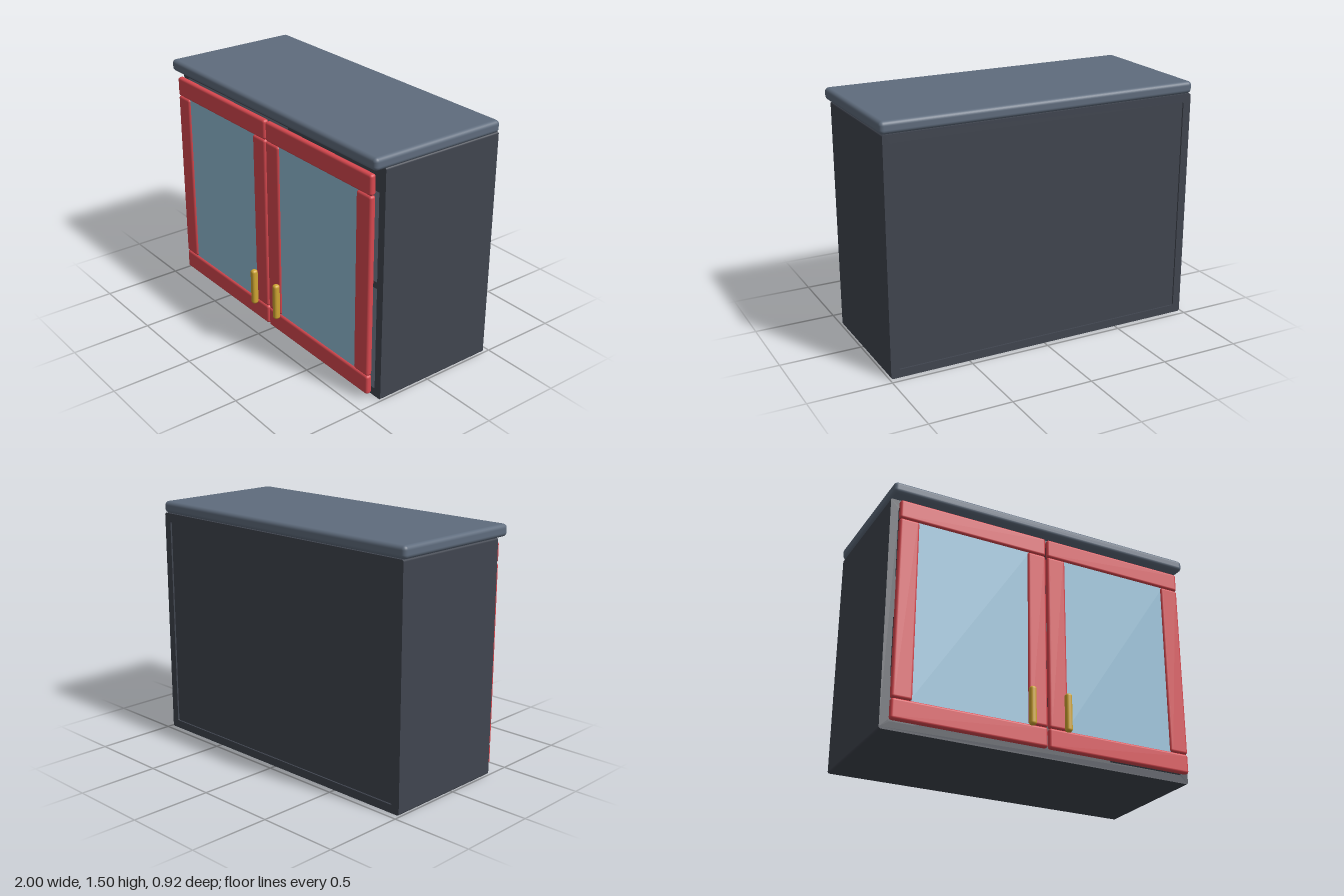
import * as THREE from 'three';
import { RoundedBoxGeometry } from 'three/addons/geometries/RoundedBoxGeometry.js';

function material(name, color) {
  const m = new THREE.MeshStandardMaterial({ color });
  m.name = name;
  return m;
}

// Rectangle outline with rounded corners
function roundedRect(path, x0, y0, x1, y1, r) {
  path.moveTo(x0 + r, y0);
  path.lineTo(x1 - r, y0);
  path.absarc(x1 - r, y0 + r, r, -Math.PI / 2, 0);
  path.lineTo(x1, y1 - r);
  path.absarc(x1 - r, y1 - r, r, 0, Math.PI / 2);
  path.lineTo(x0 + r, y1);
  path.absarc(x0 + r, y1 - r, r, Math.PI / 2, Math.PI);
  path.lineTo(x0, y0 + r);
  path.absarc(x0 + r, y0 + r, r, Math.PI, Math.PI * 1.5);
  return path;
}

export function createModel() {
  const model = new THREE.Group();
  model.name = 'cabinet';
  const body = material('charcoal', 0x40454f);
  const slate = material('slate', 0x5f6c7d);
  const red = material('red', 0xd8484f);
  const glass = material('glass blue', 0x92bdd6);
  const brass = material('brass', 0xcfa532);

  // Box given by its limits, rounded when r > 0
  function box(parent, name, mat, [x0, x1], [y0, y1], [z0, z1], r = 0) {
    const size = [x1 - x0, y1 - y0, z1 - z0];
    const geometry = r > 0 ? new RoundedBoxGeometry(...size, 4, r) : new THREE.BoxGeometry(...size);
    const mesh = new THREE.Mesh(geometry, mat);
    mesh.position.set((x0 + x1) / 2, (y0 + y1) / 2, (z0 + z1) / 2);
    mesh.name = name;
    parent.add(mesh);
  }

  // Hollow carcass, open at the front
  const outline = roundedRect(new THREE.Shape(), -0.99, 0, 0.99, 1.43, 0.012);
  outline.holes.push(roundedRect(new THREE.Path(), -0.94, 0.05, 0.94, 1.38, 0.01));
  const carcass = new THREE.Mesh(
    new THREE.ExtrudeGeometry(outline, { depth: 0.81, bevelEnabled: false, curveSegments: 5 }), body);
  carcass.position.z = -0.46;
  carcass.name = 'carcass';
  model.add(carcass);

  box(model, 'backPanel', body, [-0.945, 0.945], [0.045, 1.385], [-0.45, -0.42]);
  box(model, 'shelf', body, [-0.94, 0.94], [0.68, 0.72], [-0.42, 0.33]);
  box(model, 'worktop', slate, [-1, 1], [1.428, 1.502], [-0.46, 0.43], 0.025);

  // Two mirrored framed glass doors, each with a handle
  for (const side of [-1, 1]) {
    const door = new THREE.Group();
    door.name = side > 0 ? 'leftDoor' : 'rightDoor';
    model.add(door);
    const span = (a, b) => (side > 0 ? [a, b] : [-b, -a]);
    const depth = [0.38, 0.42];
    box(door, 'bottomRail', red, span(0.005, 0.953), [0.04, 0.162], depth, 0.016);
    box(door, 'topRail', red, span(0.005, 0.953), [1.272, 1.394], depth, 0.016);
    box(door, 'innerStile', red, span(0.005, 0.127), [0.162, 1.272], depth, 0.016);
    box(door, 'outerStile', red, span(0.831, 0.953), [0.162, 1.272], depth, 0.016);
    box(door, 'glassPane', glass, span(0.1, 0.86), [0.14, 1.295], [0.393, 0.407]);
    box(door, 'handle', brass, span(0.096, 0.136), [0.146, 0.382], [0.42, 0.462], 0.017);
  }
  return model;
}
